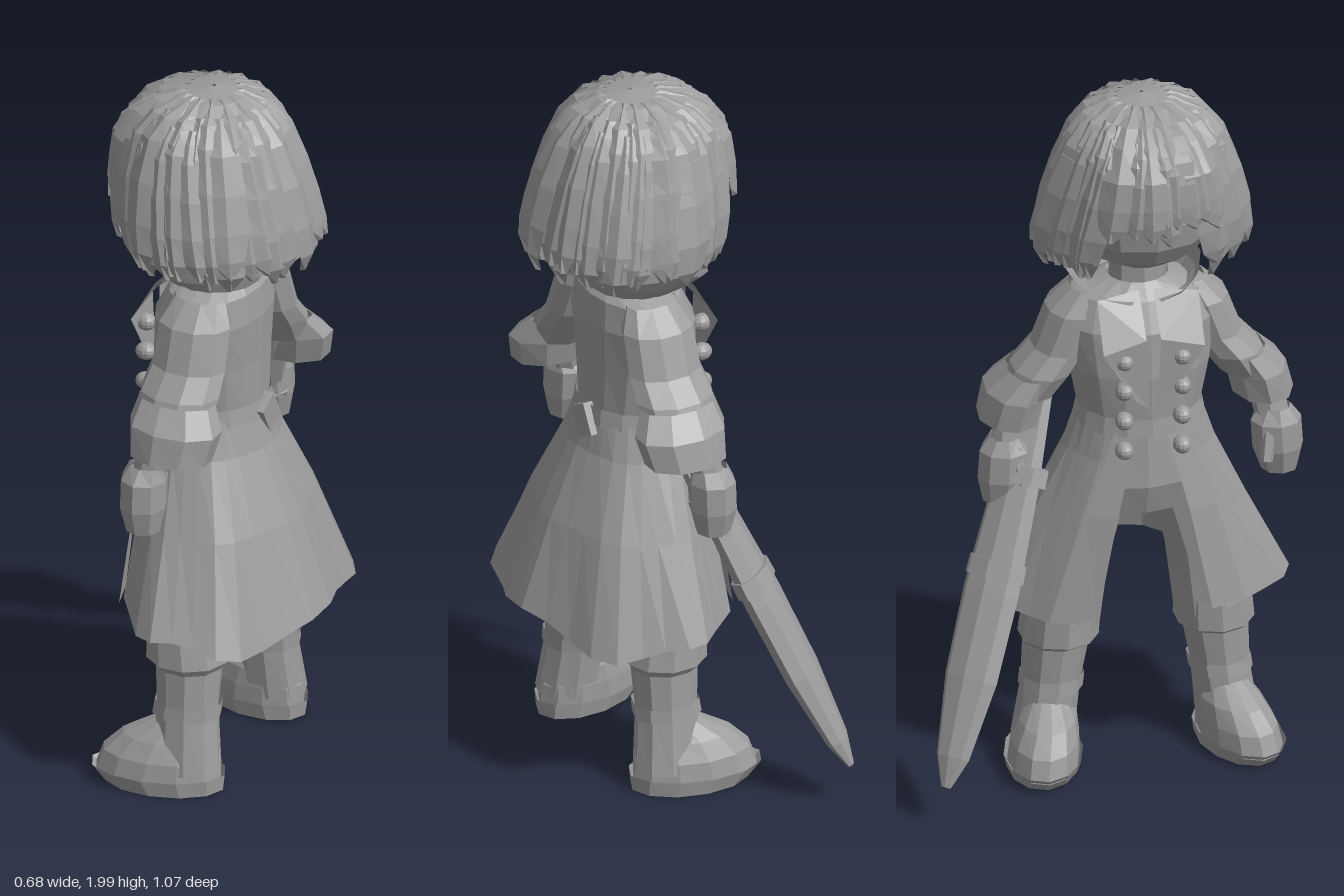
import * as THREE from 'three';

const grey = new THREE.MeshStandardMaterial({ color: 0x9c9c9c, flatShading: true, side: THREE.DoubleSide });
grey.name = 'plain grey';
const V = (x, y, z) => new THREE.Vector3(x, y, z);
const CZ = 0.085; // the body's middle plane; the figure looks towards -x

let seed = 7;
const rnd = () => (seed = (seed * 16807) % 2147483647) / 2147483647;

function add(parent, name, geometry) {
  const mesh = new THREE.Mesh(geometry, grey);
  mesh.name = name;
  parent.add(mesh);
  return mesh;
}

// Skin through a list of equally long point rows
function skin(rows) {
  const pos = [], idx = [], n = rows[0].length;
  rows.forEach(r => r.forEach(p => pos.push(p.x, p.y, p.z)));
  for (let i = 0; i < rows.length - 1; i++) for (let j = 0; j < n - 1; j++) {
    const a = i * n + j, b = a + n;
    idx.push(a, a + 1, b, b, a + 1, b + 1);
  }
  const g = new THREE.BufferGeometry();
  g.setAttribute('position', new THREE.Float32BufferAttribute(pos, 3));
  g.setIndex(idx);
  g.computeVertexNormals();
  return g;
}

// Elliptical rings [y, xMin, xMax, zMin, zMax]; angle 0 is the back (+x)
function rings(rows, n = 12, from = -Math.PI, to = Math.PI, tweak = p => p) {
  return skin(rows.map(([y, x0, x1, z0, z1], r) => Array.from({ length: n + 1 }, (_, i) => {
    const a = from + (to - from) * i / n;
    return tweak(V((x0 + x1) / 2 + Math.cos(a) * (x1 - x0) / 2, y, (z0 + z1) / 2 + Math.sin(a) * (z1 - z0) / 2), r, i, a);
  })));
}

// Tapered cylinder from a to b
function between(a, b, ra, rb, sides = 8) {
  const d = b.clone().sub(a);
  const g = new THREE.CylinderGeometry(rb, ra, d.length(), sides);
  g.applyQuaternion(new THREE.Quaternion().setFromUnitVectors(V(0, 1, 0), d.normalize()));
  return g.translate((a.x + b.x) / 2, (a.y + b.y) / 2, (a.z + b.z) / 2);
}

function ball(x, y, z, rx, ry, rz) {
  return new THREE.SphereGeometry(1, 12, 8).scale(rx, ry, rz).translate(x, y, z);
}

// Hair surface: rows of [y, centre x, radius x, radius z]
const hairRows = [[1.995, -0.01, 0.01, 0.01], [1.98, -0.015, 0.1, 0.1], [1.95, -0.025, 0.16, 0.155], [1.88, -0.035, 0.22, 0.205],
  [1.75, -0.02, 0.25, 0.245], [1.62, 0.0, 0.265, 0.28], [1.55, 0.015, 0.255, 0.278], [1.49, 0.015, 0.225, 0.24]];
function hairPoint(a, y, out) {
  let i = 0;
  while (i < hairRows.length - 2 && hairRows[i + 1][0] > y) i++;
  const p = hairRows[i], q = hairRows[i + 1], t = (p[0] - y) / (p[0] - q[0]);
  const [, cx, rx, rz] = p.map((v, k) => v + (q[k] - v) * t);
  return V(cx + Math.cos(a) * (rx + out), y + out * 0.3, 0.095 + Math.sin(a) * (rz + out));
}

function buildHead(root) {
  const head = new THREE.Group();
  head.name = 'head';
  root.add(head);
  add(head, 'face', ball(-0.02, 1.67, 0.095, 0.19, 0.185, 0.21));
  add(head, 'neck', between(V(0, 1.38, CZ), V(0, 1.55, CZ), 0.08, 0.08));
  const angles = Array.from({ length: 25 }, (_, i) => i / 24 * Math.PI * 2);
  add(head, 'hairCap', skin([1.995, 1.98, 1.95, 1.88, 1.8, 1.72].map(y => angles.map(a => hairPoint(a, y, -0.005)))));
  // Back and sides of the bob below the cap
  const back = angles.map(a => (a / Math.PI - 1) * 2.35);
  add(head, 'hairBack', skin([1.72, 1.62, 1.54].map(y => back.map(a => hairPoint(a, y, -0.012)))));
  // Overlapping layers of pointed locks, shorter over the face
  for (let layer = 0; layer < 3; layer++) for (let i = 0; i < 17; i++) {
    const a = (i + layer / 3) / 17 * Math.PI * 2 + (rnd() - 0.5) * 0.16;
    const fringe = Math.cos(a) < -0.82;
    const end = (fringe ? 1.64 : 1.49) + rnd() * 0.07;
    const top = 1.985 - layer * 0.025, w = 0.17 + rnd() * 0.07, lift = rnd() * 0.022, lean = (rnd() - 0.5) * 0.14;
    const rows = [0, 0.08, 0.2, 0.45, 0.7, 0.88, 1].map((t, k) => {
      const y = top + (end - top) * t, half = w * [0.8, 1, 1, 1, 0.95, 0.7, 0.12][k];
      return [-1, 0, 1].map(s => hairPoint(a + lean * t + s * half, y, lift * Math.min(1, t * 3) + (s ? -0.006 : 0.008)));
    });
    add(head, 'hairLock', skin(rows));
  }
}

function buildCoat(root) {
  const coat = new THREE.Group();
  coat.name = 'coat';
  root.add(coat);
  add(coat, 'bodice', rings([[1.45, -0.08, 0.09, 0.0, 0.17], [1.41, -0.12, 0.125, -0.1, 0.27],
    [1.33, -0.16, 0.135, -0.13, 0.30], [1.2, -0.17, 0.13, -0.11, 0.28], [1.05, -0.16, 0.13, -0.08, 0.25]], 16));
  // Long skirt with broad pleats, open in front, lifted in the middle of the back
  add(coat, 'skirt', rings([[1.06, -0.165, 0.135, -0.085, 0.255], [0.95, -0.17, 0.16, -0.12, 0.29],
    [0.75, -0.19, 0.24, -0.21, 0.38], [0.5, -0.21, 0.325, -0.33, 0.5]], 24, -2.65, 2.65, (p, r, i, a) => {
    const f = r / 3, s = 1 + (i % 4 < 2 ? 0.035 : -0.03) * f;
    const drop = r === 3 ? 0.05 * Math.pow(Math.sin(a * 2), 2) * (Math.cos(a) > 0 ? 1 : 0.3) : 0;
    return V(p.x * s, p.y - drop, CZ + (p.z - CZ) * s);
  }));
  add(coat, 'belt', rings([[1.08, -0.175, 0.138, -0.085, 0.255], [1.03, -0.18, 0.145, -0.095, 0.265]], 16));
  add(coat, 'backBuckle', new THREE.BoxGeometry(0.03, 0.09, 0.07).rotateX(0.5).translate(0.14, 1.03, 0.075));
  // Wide flared collar, dropping to a point in front
  add(coat, 'collar', rings([[1.41, -0.1, 0.11, -0.04, 0.21], [1.46, -0.16, 0.13, -0.09, 0.24],
    [1.515, -0.2, 0.138, -0.13, 0.25]], 14, -2.9, 2.9, (p, r, i, a) =>
    V(p.x, p.y - 0.07 * (r / 2) * Math.max(0, -Math.cos(a)), p.z)));
  for (const s of [-1, 1]) {
    const z = t => CZ + s * t;
    add(coat, 'lapel', skin([[V(-0.1, 1.44, z(0.02)), V(-0.12, 1.43, z(0.14))],
      [V(-0.19, 1.33, z(0.02)), V(-0.195, 1.3, z(0.14))], [V(-0.185, 1.12, z(0.01)), V(-0.19, 1.15, z(0.05))]]));
    for (let i = 0; i < 4; i++)
      add(coat, 'button', ball(-0.18, 1.0 + i * 0.09, z(0.08), 0.03, 0.025, 0.025));
    // Turned front edge of the skirt
    add(coat, 'frontEdge', skin([[V(-0.17, 1.04, z(0.04)), V(-0.15, 1.04, z(0.1))],
      [V(-0.19, 0.8, z(0.1)), V(-0.16, 0.8, z(0.18))], [V(-0.2, 0.5, z(0.16)), V(-0.17, 0.5, z(0.26))]]));
  }
}

// Two hanging arms, the second mirrored across the middle plane
function buildArms(root) {
  for (const s of [1, -1]) {
    const arm = new THREE.Group();
    arm.name = 'arm';
    arm.scale.z = s;
    arm.position.z = s < 0 ? 2 * CZ : 0;
    root.add(arm);
    add(arm, 'sleeve', rings([[1.42, -0.06, 0.09, 0.18, 0.27], [1.36, -0.09, 0.12, 0.18, 0.335],
      [1.25, -0.09, 0.125, 0.22, 0.375], [1.19, -0.1, 0.13, 0.26, 0.43], [1.12, -0.08, 0.12, 0.31, 0.46]], 10));
    add(arm, 'cuff', rings([[1.18, -0.09, 0.13, 0.31, 0.44], [1.12, -0.1, 0.17, 0.33, 0.5],
      [1.04, -0.09, 0.15, 0.35, 0.52], [1.04, -0.04, 0.08, 0.39, 0.48]], 9));
    add(arm, 'forearm', between(V(0.0, 1.1, 0.43), V(-0.03, 0.96, 0.455), 0.05, 0.045));
    add(arm, 'hand', rings([[1.01, -0.08, 0.02, 0.42, 0.5], [0.97, -0.1, 0.03, 0.39, 0.53],
      [0.89, -0.1, 0.03, 0.395, 0.535], [0.82, -0.08, 0.015, 0.42, 0.52], [0.815, -0.04, -0.03, 0.46, 0.47]], 8));
    add(arm, 'thumb', between(V(-0.06, 0.98, 0.44), V(-0.09, 0.87, 0.42), 0.025, 0.018, 6));
  }
}

function buildLegs(root) {
  const legs = new THREE.Group();
  legs.name = 'legs';
  root.add(legs);
  add(legs, 'hips', rings([[1.05, -0.12, 0.1, -0.06, 0.23], [0.85, -0.13, 0.13, -0.11, 0.28], [0.76, -0.1, 0.1, -0.08, 0.25]], 12));
  for (const s of [-1, 1]) {
    const leg = new THREE.Group();
    leg.name = 'leg';
    legs.add(leg);
    const ring = (y, x0, x1, mid, half) => [y, x0, x1, CZ + s * mid - half, CZ + s * mid + half];
    // Toes turn outward
    const splay = p => V(p.x, p.y, p.z - s * 0.15 * (p.x + 0.04));
    add(leg, 'trouser', rings([ring(0.9, -0.1, 0.11, 0.1, 0.1), ring(0.6, -0.1, 0.115, 0.18, 0.1), ring(0.4, -0.09, 0.11, 0.2, 0.095)], 10));
    add(leg, 'bootShaft', rings([ring(0.46, -0.1, 0.11, 0.21, 0.105), ring(0.37, -0.1, 0.13, 0.215, 0.11),
      ring(0.35, -0.07, 0.115, 0.22, 0.09), ring(0.22, -0.06, 0.11, 0.235, 0.08), ring(0.06, -0.07, 0.13, 0.255, 0.085)], 10));
    add(leg, 'bootStrap', rings([ring(0.25, -0.07, 0.12, 0.23, 0.087), ring(0.21, -0.075, 0.12, 0.235, 0.087)], 10));
    add(leg, 'bootToe', rings([ring(0.19, -0.06, 0.07, 0.25, 0.05), ring(0.14, -0.15, 0.1, 0.255, 0.08),
      ring(0.09, -0.2, 0.125, 0.265, 0.095), ring(0.03, -0.22, 0.13, 0.27, 0.1)], 12, -Math.PI, Math.PI, splay));
    add(leg, 'sole', rings([ring(0.045, -0.23, 0.14, 0.27, 0.11), ring(0.0, -0.19, 0.135, 0.27, 0.1),
      ring(0.0, -0.04, -0.03, 0.27, 0.005)], 12, -Math.PI, Math.PI, splay));
  }
}

// Broad flat scabbard slung beside the hip, slanting forward and outward
function buildSword(root) {
  const sword = new THREE.Group();
  sword.name = 'sword';
  const top = V(0.06, 1.2, -0.15), tip = V(-0.33, 0.12, -0.525);
  const dir = tip.clone().sub(top), length = dir.length();
  sword.position.copy(top);
  sword.quaternion.setFromUnitVectors(V(0, -1, 0), dir.normalize());
  root.add(sword);
  const rows = [[0, 0.035], [0.3, 0.07], [0.55, 0.085], [0.75, 0.08], [0.93, 0.05], [1, 0.015]];
  add(sword, 'scabbard', rings(rows.map(([t, w]) => [-t * length, -w, w, -w * 0.55, w * 0.55]), 8).rotateY(Math.PI / 4));
  for (const t of [0.28, 0.5])
    add(sword, 'scabbardBand', new THREE.CylinderGeometry(0.088, 0.09, 0.05, 8).scale(1, 1, 0.6)
      .rotateY(Math.PI / 4).translate(0, -t * length, 0));
}

export function createModel() {
  const root = new THREE.Group();
  root.name = 'coatedFigure';
  [buildHead, buildCoat, buildArms, buildLegs, buildSword].forEach(build => build(root));
  return root;
}
